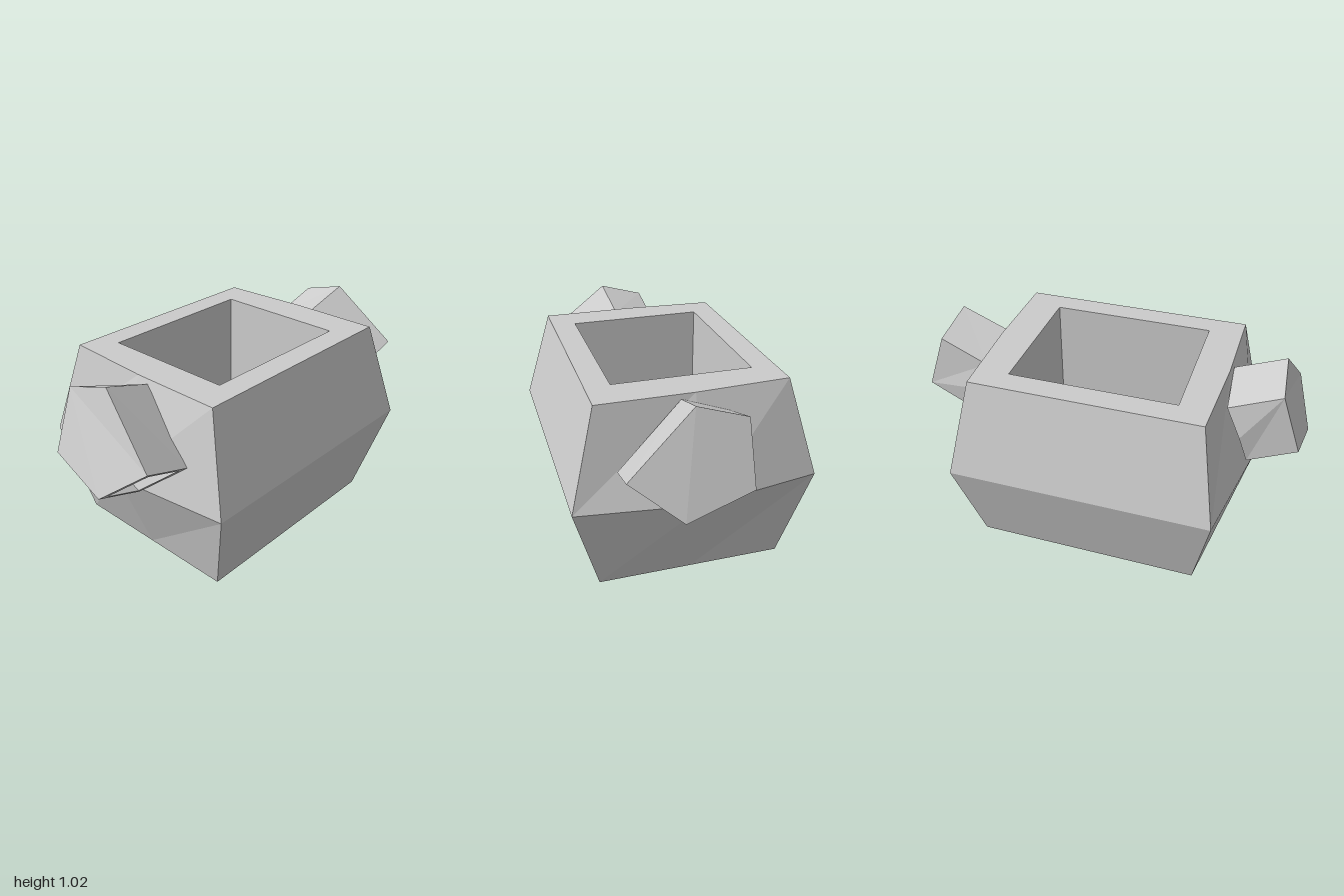
import * as THREE from 'three';

const v = (x, y, z) => new THREE.Vector3(x, y, z);
const mix = (a, b, t) => a.clone().lerp(b, t);

// Flat-shaded mesh from convex polygons (counter-clockwise from outside);
// side = -1 mirrors it through the z = 0 plane.
function facetedMesh(name, polygons, side = 1) {
  const pos = [];
  for (const p of polygons) {
    const q = side > 0 ? p : [...p].reverse();
    for (let i = 1; i < q.length - 1; i++) {
      for (const c of [q[0], q[i], q[i + 1]]) pos.push(c.x, c.y, c.z * side);
    }
  }
  const geometry = new THREE.BufferGeometry();
  geometry.setAttribute('position', new THREE.Float32BufferAttribute(pos, 3));
  geometry.computeVertexNormals();
  const mesh = new THREE.Mesh(geometry, new THREE.MeshStandardMaterial({ color: 0xcccccc, flatShading: true }));
  mesh.name = name;
  return mesh;
}

// Quads joining two closed rings of equal length
const bridge = (a, b) => a.map((p, i) => {
  const j = (i + 1) % a.length;
  return [p, a[j], b[j], b[i]];
});

// Six-point ring: left, centre and right depth, front then back
const bodyRing = (y, x, [l, c, r], [bl, bc, br] = [l, c, r]) => [
  v(-x, y, l), v(0, y, c), v(x, y, r), v(x, y, -br), v(0, y, -bc), v(-x, y, -bl),
];

function createBody() {
  const holeFront = [0.42, 0.42, 0.42], holeBack = [0.405, 0.405, 0.405];
  const rings = [
    bodyRing(0, 0.46, [0.57, 0.57, 0.57]),
    bodyRing(0.48, 0.59, [0.655, 0.757, 0.68]),
    bodyRing(0.96, 0.46, [0.565, 0.59, 0.59]),
    bodyRing(0.96, 0.34, holeFront, holeBack),
    bodyRing(0, 0.34, holeFront, holeBack),
  ];
  // Outside wall, top rim, shaft and bottom rim form one closed loop
  return facetedMesh('body', rings.flatMap((r, i) => bridge(r, rings[(i + 1) % rings.length])));
}

function createPod(name, side) {
  // Five-sided outer face and the matching root set into the body
  const outer = [v(-0.14, 0.955, 0.865), v(-0.14, 0.665, 0.97), v(0.175, 0.575, 1), v(0.4, 0.755, 0.912), v(0.09, 1.025, 0.845)];
  const root = [v(-0.16, 0.86, 0.615), v(-0.16, 0.57, 0.735), v(0.155, 0.48, 0.757), v(0.38, 0.665, 0.67), v(0.07, 0.94, 0.6)];
  const bulge = v(-0.18, 0.71, 0.69);
  const open = 2; // index of the side that carries the opening

  // Inset ring for the hollow; its open edge lies on the pod's surface
  const inset = (ring) => {
    const centre = ring.reduce((s, p) => s.add(p), v(0, 0, 0)).divideScalar(ring.length);
    return ring.map((p, i) => {
      if (i === open) return mix(p, ring[open + 1], 0.08);
      if (i === open + 1) return mix(p, ring[open], 0.08);
      return mix(p, centre, 0.15);
    });
  };
  const insetRoot = inset(root), insetOuter = inset(outer);
  const cavityBack = insetRoot.map((p, i) => mix(p, insetOuter[i], 0.12));
  const cavityFront = insetRoot.map((p, i) => mix(p, insetOuter[i], 0.88));

  const sides = bridge(root, outer);
  const cavity = bridge(cavityBack, cavityFront);
  const polygons = [
    outer,
    [root[0], bulge, ...root.slice(1)].reverse(),
    [outer[0], root[0], bulge, root[1], outer[1]],
    ...sides.filter((_, i) => i !== 0 && i !== open),
    // Rim around the opening
    ...bridge(sides[open], cavity[open]),
    // Inside of the hollow
    ...cavity.filter((_, i) => i !== open).map((q) => q.reverse()),
    [...cavityFront].reverse(),
    cavityBack,
  ];
  return facetedMesh(name, polygons, side);
}

export function createModel() {
  const model = new THREE.Group();
  model.name = 'model';
  model.add(createBody(), createPod('frontPod', 1), createPod('backPod', -1));
  return model;
}
